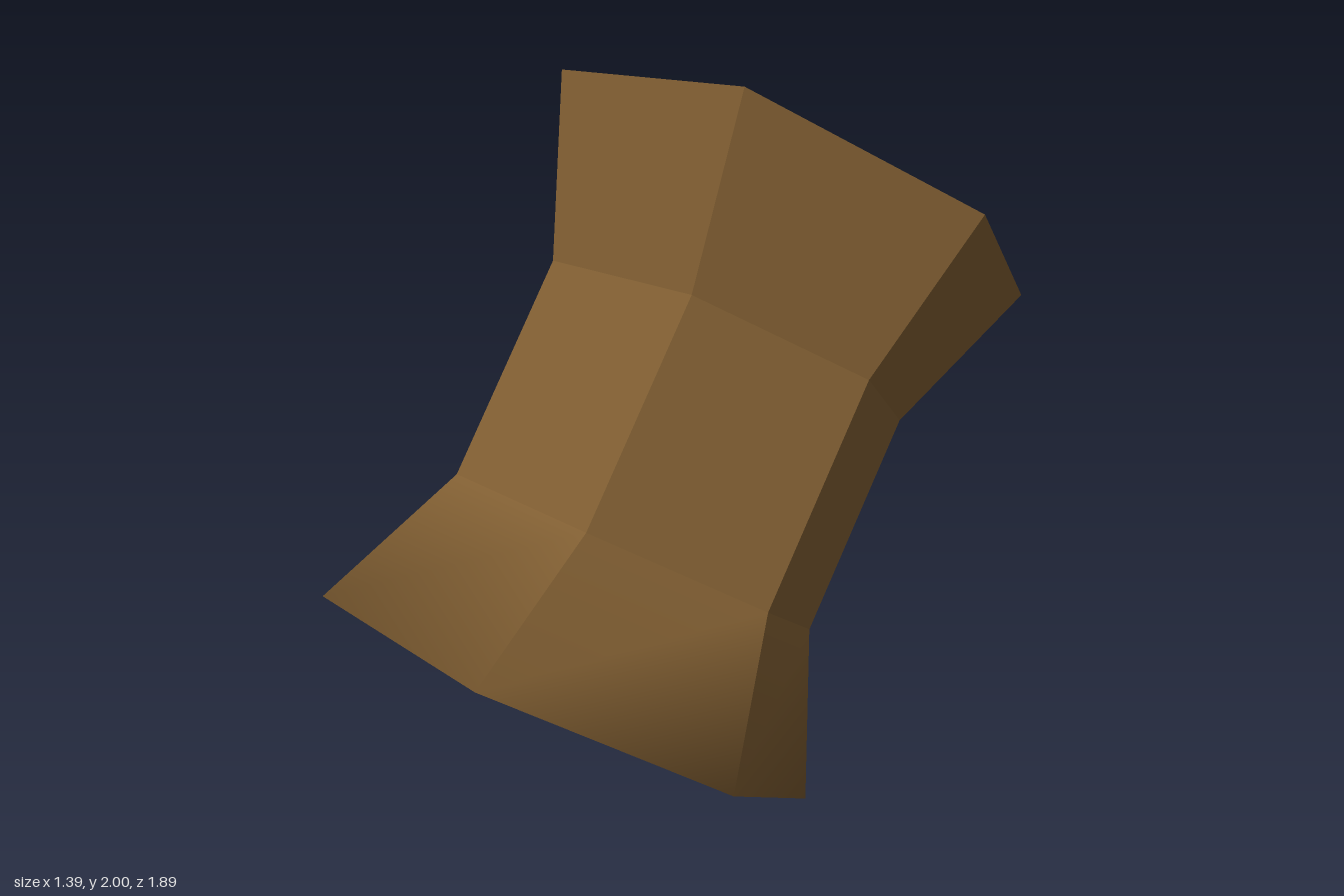
import * as THREE from 'three';

// Height along the leaning axis, side corner x, flat edge half width, flat edge distance
const RINGS = [
  [-0.789, 0.695, 0.385, 0.625],
  [-0.345, 0.555, 0.305, 0.446],
  [0.302, 0.555, 0.305, 0.446],
  [0.789, 0.695, 0.385, 0.625],
];

// Six corners, anticlockwise seen from above
const hexRing = ([y, a, b, c]) =>
  [[a, 0], [b, -c], [-b, -c], [-a, 0], [-b, c], [b, c]].map(([x, z]) => new THREE.Vector3(x, y, z));

const faceNormal = (f) =>
  f[1].clone().sub(f[0]).cross(f[2].clone().sub(f[0])).normalize();

const sideFaces = (lo, hi) => lo.map((p, i) => {
  const j = (i + 1) % 6;
  return [p, lo[j], hi[j], hi[i]];
});

// Angle-weighted normals for the corners of a softened rim
function softNormals(corners, faces) {
  const soft = new Map();
  for (const p of corners) {
    const sum = new THREE.Vector3();
    for (const f of faces) {
      const k = f.indexOf(p);
      if (k < 0) continue;
      const n = f.length;
      const angle = f[(k + 1) % n].clone().sub(p).angleTo(f[(k + n - 1) % n].clone().sub(p));
      sum.addScaledVector(faceNormal(f), angle);
    }
    soft.set(p, sum.normalize());
  }
  return soft;
}

// Flat faces, except at corners that have a soft normal
function facesGeometry(faces, soft = new Map()) {
  const pos = [], nor = [];
  for (const f of faces) {
    const flat = faceNormal(f);
    for (let i = 1; i < f.length - 1; i++) {
      for (const p of [f[0], f[i], f[i + 1]]) {
        pos.push(p.x, p.y, p.z);
        nor.push(...(soft.get(p) || flat).toArray());
      }
    }
  }
  const g = new THREE.BufferGeometry();
  g.setAttribute('position', new THREE.Float32BufferAttribute(pos, 3));
  g.setAttribute('normal', new THREE.Float32BufferAttribute(nor, 3));
  return g;
}

export function createModel() {
  const model = new THREE.Group();
  model.name = 'leaningHexPost';
  const brown = new THREE.MeshStandardMaterial({ color: 0x805e32 });
  brown.name = 'brown';

  const add = (name, geometry) => {
    const mesh = new THREE.Mesh(geometry, brown);
    mesh.name = name;
    tilt.add(mesh);
  };
  const tilt = new THREE.Group();
  tilt.name = 'leaningBody';
  tilt.rotation.x = -0.543;
  tilt.position.y = 1;
  model.add(tilt);

  const [bottom, low, high, top] = RINGS.map(hexRing);

  // Flared foot with a softened bottom rim
  const foot = [...sideFaces(bottom, low), [...bottom].reverse()];
  add('foot', facesGeometry(foot, softNormals(bottom, foot)));

  // Straight waist
  add('waist', facesGeometry(sideFaces(low, high)));

  // Flared head with a flat top
  add('head', facesGeometry([...sideFaces(high, top), top]));

  return model;
}
